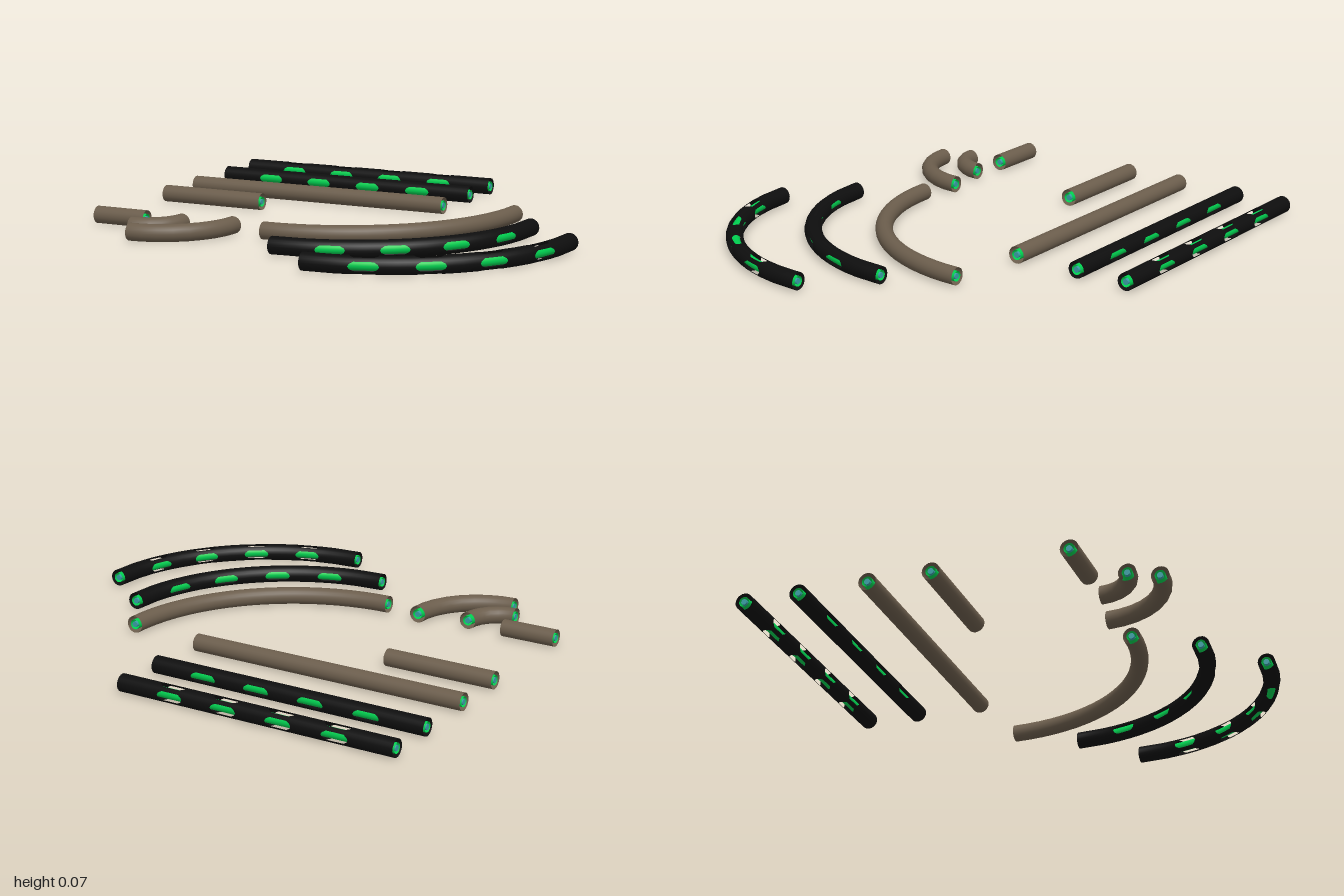
import * as THREE from 'three';

const R = 0.036;          // outer shell radius
const SIDES = 24;
const HALF = 2;           // half width of a window, in sides
const WINDOW = 0.114;     // window length

const mat = (name, color) => {
  const m = new THREE.MeshStandardMaterial({ color, side: THREE.DoubleSide });
  m.name = name;
  return m;
};

// Centre line running along +x, or bending a quarter turn from +x towards -z
function makePath({ x, z, length, bend }) {
  const total = bend ? bend * Math.PI / 2 : length;
  const at = (s) => {
    if (!bend) return { p: new THREE.Vector3(x + s, R, z), n: new THREE.Vector3(0, 0, 1) };
    const a = s / bend;
    const n = new THREE.Vector3(Math.sin(a), 0, Math.cos(a));
    return { p: new THREE.Vector3(x, R, z).addScaledVector(n, bend), n };
  };
  return { total, at };
}

// Open tube swept along a path; "windows" lists the sides (0 outer, 6 top, 12 inner, 18 bottom) that are cut
function tube(path, radius, steps, windows = []) {
  const cols = [];        // { s, shift: direction of the window end, open: cut after this column }
  if (windows.length) {
    cols.push({ s: 0 });
    for (let k = 1; k <= 4; k++) {
      const c = path.total * k / 5, h = WINDOW / 2;
      cols.push({ s: c - path.total / 10 });
      cols.push({ s: c - h, shift: 1, open: true }, { s: c, open: true }, { s: c + h, shift: -1 });
    }
    cols.push({ s: path.total * 0.9 }, { s: path.total });
  } else {
    for (let i = 0; i <= steps; i++) cols.push({ s: path.total * i / steps });
  }
  const offset = (j, w) => {
    const d = (((j - w) % SIDES) + SIDES) % SIDES;
    return Math.min(d, SIDES - d);
  };
  const pos = [], nor = [], idx = [];
  const up = new THREE.Vector3(0, 1, 0);
  for (const c of cols) {
    for (let j = 0; j <= SIDES; j++) {
      // Window ends taper towards their corners
      const d = Math.min(99, ...windows.map((w) => offset(j, w)));
      const taper = c.shift && d <= HALF ? 0.02 * (d / HALF) ** 2 : 0;
      const { p, n } = path.at(c.s + (c.shift || 0) * taper);
      const t = j / SIDES * Math.PI * 2;
      const dir = n.clone().multiplyScalar(Math.cos(t)).addScaledVector(up, Math.sin(t));
      nor.push(...dir.toArray());
      pos.push(...p.addScaledVector(dir, radius).toArray());
    }
  }
  const row = SIDES + 1;
  for (let i = 0; i < cols.length - 1; i++) {
    for (let j = 0; j < SIDES; j++) {
      const cut = cols[i].open && windows.some((w) => offset(j, w) <= HALF && offset(j + 1, w) <= HALF);
      if (cut) continue;
      const a = i * row + j, b = a + row;
      idx.push(a, b, b + 1, a, b + 1, a + 1);
    }
  }
  const g = new THREE.BufferGeometry();
  g.setAttribute('position', new THREE.Float32BufferAttribute(pos, 3));
  g.setAttribute('normal', new THREE.Float32BufferAttribute(nor, 3));
  g.setIndex(idx);
  return g;
}

export function createModel() {
  const brown = mat('brownCasing', 0x6b5d4c);
  const black = mat('blackCasing', 0x0e0e0e);
  const green = mat('greenCore', 0x00d050);
  const teal = mat('tealWire', 0x3a9ea5);

  const sides = [0, 12], all = [0, 6, 12, 18];
  const pipes = [
    // Straight pipes
    { name: 'shortPipe', x: -1, z: 0.437, length: 0.237, steps: 1, shell: brown },
    { name: 'mediumPipe', x: -1, z: 0.112 * -1, length: 0.477, steps: 1, shell: brown },
    { name: 'longPipe', x: -1, z: -0.372, length: 1.213, steps: 1, shell: brown },
    { name: 'sideWindowPipe', x: -1, z: -0.66, length: 1.213, steps: 20, shell: black, windows: sides },
    { name: 'fullWindowPipe', x: -1, z: -0.889, length: 1.213, steps: 20, shell: black, windows: all },
    // Quarter bends, placed by the centre of the bend
    { name: 'smallBend', x: -0.747, z: 0.432, bend: 0.15, steps: 6, shell: brown },
    { name: 'mediumBend', x: -0.686, z: 0.39, bend: 0.303, steps: 8, shell: brown },
    { name: 'largeBend', x: -0.22, z: -0.336, bend: 0.772, steps: 20, shell: brown },
    { name: 'sideWindowBend', x: -0.053, z: -0.096, bend: 0.772, steps: 20, shell: black, windows: sides },
    { name: 'fullWindowBend', x: 0.192, z: 0.114, bend: 0.772, steps: 20, shell: black, windows: all },
  ];

  const model = new THREE.Group();
  model.name = 'pipeSet';
  for (const def of pipes) {
    const path = makePath(def);
    const pipe = new THREE.Group();
    pipe.name = def.name;
    const add = (name, geometry, material) => {
      const mesh = new THREE.Mesh(geometry, material);
      mesh.name = name;
      pipe.add(mesh);
      return mesh;
    };
    add('casing', tube(path, R, def.steps, def.windows), def.shell);
    add('core', tube(path, 0.021, def.steps), green);
    add('wire', tube(path, 0.012, def.steps), teal);
    // Flat discs closing the wire at both ends
    for (const [s, flip] of [[0, -1], [path.total, 1]]) {
      const { p, n } = path.at(s);
      const end = add('wireEnd', new THREE.CircleGeometry(0.012, SIDES), teal);
      end.position.copy(p);
      end.rotation.y = Math.atan2(flip * n.z, -flip * n.x);
    }
    model.add(pipe);
  }
  return model;
}
